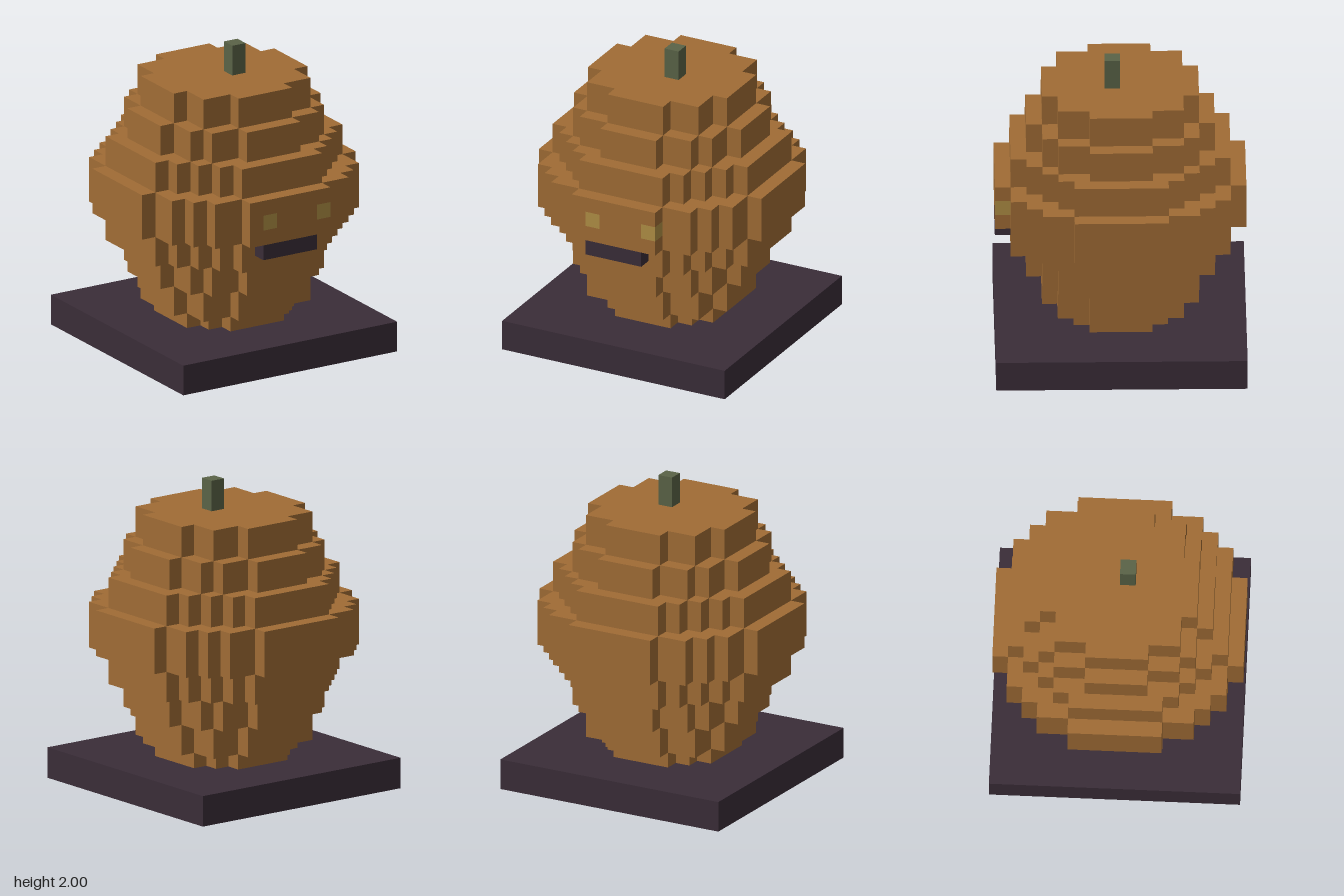
import * as THREE from 'three';

const material = (color) => new THREE.MeshStandardMaterial({ color, flatShading: true });
const orange = material(0xa06c35);
const dark = material(0x3a2d38);
const yellow = material(0xb08f45);
const green = material(0x5a6347);

// Stepped outlines by radius: [half width, half depth] of each stair corner
const STEPS = {
  4: [[0.2, 0.4], [0.3, 0.3], [0.4, 0.2]],
  5: [[0.2, 0.5], [0.4, 0.4], [0.5, 0.2]],
  6: [[0.2, 0.6], [0.4, 0.5], [0.5, 0.4], [0.6, 0.2]],
  7: [[0.3, 0.7], [0.4, 0.6], [0.5, 0.5], [0.6, 0.4], [0.7, 0.3]],
  8: [[0.3, 0.8], [0.5, 0.7], [0.6, 0.6], [0.7, 0.5], [0.8, 0.3]],
};

// Outer and inner corners of one quarter, from the z end to the x end
function quarter(steps) {
  return steps.flatMap(([w, d], i) =>
    i < steps.length - 1 ? [[w, d], [w, steps[i + 1][1]]] : [[w, d]]);
}

// Upright prism with a stepped round plan; the front may differ from the back
function layerGeometry(front, back, y0, y1) {
  const right = [
    ...quarter(front).map(([x, z]) => new THREE.Vector2(x, -z)),
    ...quarter(back).reverse().map(([x, z]) => new THREE.Vector2(x, z)),
  ];
  const left = right.map((p) => new THREE.Vector2(-p.x, p.y)).reverse();
  const geometry = new THREE.ExtrudeGeometry(new THREE.Shape([...right, ...left]),
    { depth: y1 - y0, bevelEnabled: false });
  return geometry.rotateX(-Math.PI / 2).translate(0, y0, 0);
}

// Box given by its lower and upper corners
function boxGeometry([x0, y0, z0], [x1, y1, z1]) {
  return new THREE.BoxGeometry(x1 - x0, y1 - y0, z1 - z0)
    .translate((x0 + x1) / 2, (y0 + y1) / 2, (z0 + z1) / 2);
}

export function createModel() {
  const group = new THREE.Group();
  const add = (name, geometry, mat) => {
    const mesh = new THREE.Mesh(geometry, mat);
    mesh.name = name;
    group.add(mesh);
  };

  // Base and stem
  add('base', boxGeometry([-0.8, 0, -0.8], [0.8, 0.2, 0.8]), dark);
  add('stem', boxGeometry([0, 1.8, 0], [0.1, 2, 0.1]), green);

  // Body layers: radius key, bottom, top
  const layers = [
    [4, 0.2, 0.3], [5, 0.3, 0.5], [6, 0.5, 0.7], [7, 0.7, 0.9],
    [8, 0.9, 1.2], [7, 1.2, 1.4], [6, 1.4, 1.6], [5, 1.6, 1.8],
  ];
  for (const [r, y0, y1] of layers) {
    const steps = STEPS[r];
    // The widest layer leaves its foremost row to the face plate
    const front = r === 8 ? steps.slice(1) : steps;
    add('bodyLayer', layerGeometry(front, steps, y0, y1), orange);
  }

  // Face plate with a hole for the right eye and a notch for the left eye
  const plate = new THREE.Shape([
    [-0.3, 0.9], [0.3, 0.9], [0.3, 1], [0.2, 1],
    [0.2, 1.1], [0.3, 1.1], [0.3, 1.2], [-0.3, 1.2],
  ].map(([x, y]) => new THREE.Vector2(x, y)));
  plate.holes.push(new THREE.Path([
    [-0.2, 1], [-0.2, 1.1], [-0.1, 1.1], [-0.1, 1],
  ].map(([x, y]) => new THREE.Vector2(x, y))));
  add('facePlate', new THREE.ExtrudeGeometry(plate, { depth: 0.1, bevelEnabled: false })
    .translate(0, 0, 0.7), orange);

  // Eyes flush with the face, mouth below it
  add('rightEye', boxGeometry([-0.2, 1, 0.7], [-0.1, 1.1, 0.8]), yellow);
  add('leftEye', boxGeometry([0.2, 1, 0.7], [0.3, 1.1, 0.8]), yellow);
  add('mouth', boxGeometry([-0.2, 0.8, 0.7], [0.2, 0.9, 0.8]), dark);

  return group;
}
